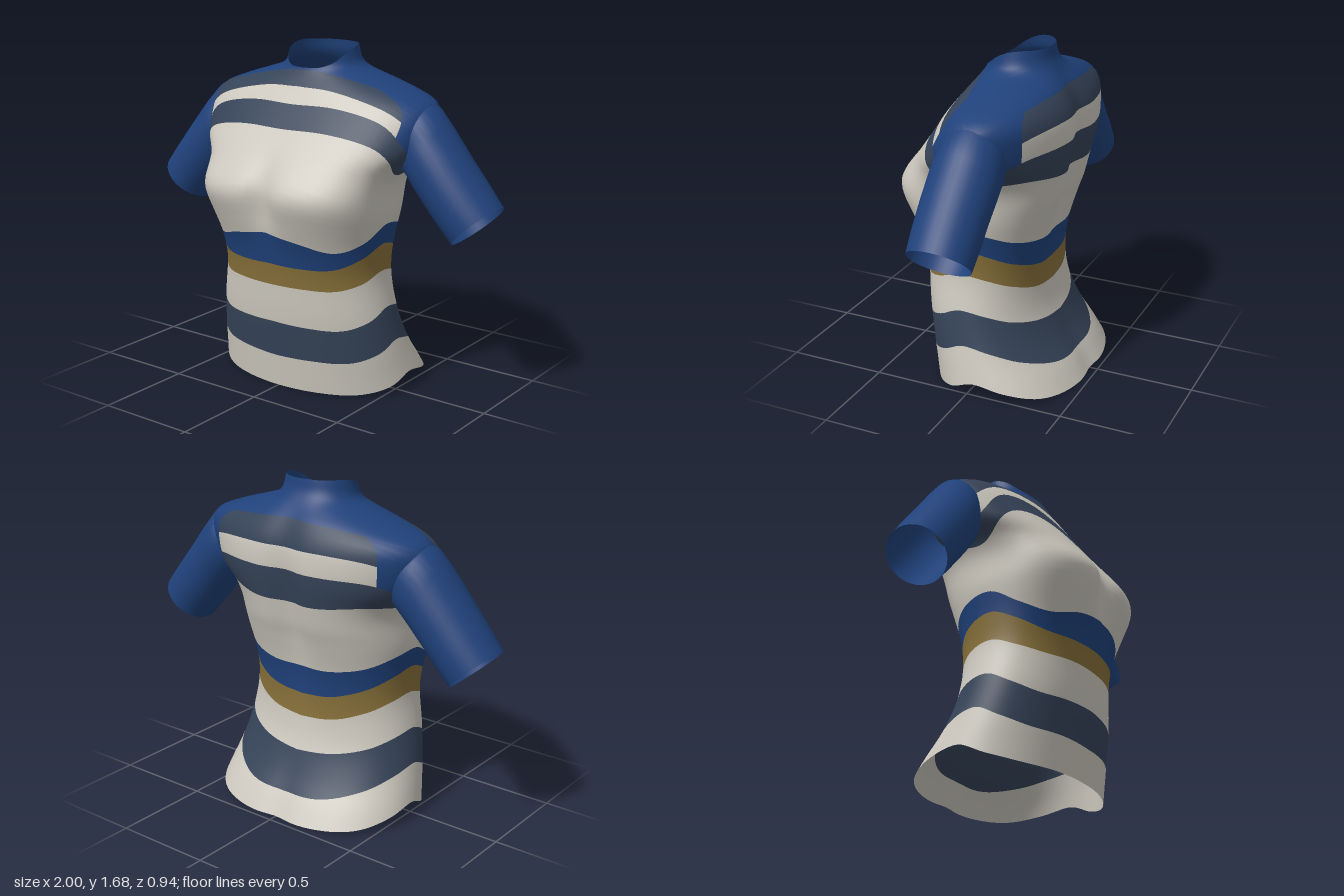
import * as THREE from 'three';

const mat = (name, color) => new THREE.MeshStandardMaterial({ name, color, side: THREE.DoubleSide });

// Smooth interpolation through [key, value] pairs
function curve(keys) {
  const n = keys.length;
  const slope = (i) => {
    const a = keys[Math.max(i - 1, 0)], b = keys[Math.min(i + 1, n - 1)];
    return (b[1] - a[1]) / (b[0] - a[0]);
  };
  return (x) => {
    const t0 = THREE.MathUtils.clamp(x, keys[0][0], keys[n - 1][0]);
    let i = 0;
    while (i < n - 2 && t0 > keys[i + 1][0]) i++;
    const [x0, y0] = keys[i], [x1, y1] = keys[i + 1];
    const h = x1 - x0, t = (t0 - x0) / h, u = 1 - t;
    return y0 * (1 + 2 * t) * u * u + y1 * t * t * (3 - 2 * t)
      + h * (slope(i) * t * u * u - slope(i + 1) * t * t * u);
  };
}

// Closed rings stacked into a smooth open tube
function loft(rows, segs, point) {
  const pos = [], index = [];
  for (let i = 0; i <= rows; i++) {
    for (let j = 0; j < segs; j++) pos.push(...point(i, (j / segs) * Math.PI * 2));
  }
  for (let i = 0; i < rows; i++) {
    for (let j = 0; j < segs; j++) {
      const k = (j + 1) % segs, a = i * segs + j, b = i * segs + k;
      index.push(a, b, a + segs, b, b + segs, a + segs);
    }
  }
  const g = new THREE.BufferGeometry();
  g.setAttribute('position', new THREE.Float32BufferAttribute(pos, 3));
  g.setIndex(index);
  g.computeVertexNormals();
  return g;
}

// Body profiles by height: half width, front depth, back depth, squareness of each half
const width = curve([[0, 0.56], [0.1, 0.54], [0.2, 0.52], [0.4, 0.48], [0.6, 0.443], [0.75, 0.45], [0.9, 0.475],
  [1.05, 0.487], [1.13, 0.525], [1.2, 0.595], [1.3, 0.635], [1.4, 0.64], [1.45, 0.595], [1.5, 0.465],
  [1.54, 0.335], [1.57, 0.24], [1.6, 0.2], [1.68, 0.178]]);
const front = curve([[0, 0.305], [0.2, 0.33], [0.4, 0.355], [0.6, 0.37], [0.75, 0.395], [0.87, 0.435],
  [1, 0.474], [1.07, 0.45], [1.2, 0.345], [1.3, 0.265], [1.4, 0.195], [1.5, 0.13], [1.57, 0.09], [1.68, 0.07]]);
const back = curve([[0, -0.475], [0.1, -0.415], [0.2, -0.345], [0.35, -0.275], [0.5, -0.248], [0.65, -0.253],
  [0.75, -0.27], [0.9, -0.315], [1, -0.35], [1.2, -0.39], [1.3, -0.397], [1.4, -0.385], [1.5, -0.335],
  [1.56, -0.285], [1.62, -0.245], [1.68, -0.23]]);
const squareFront = curve([[0, 2.1], [0.6, 2.2], [0.85, 2.7], [1, 3.1], [1.15, 2.5], [1.35, 2.4], [1.45, 2.2], [1.55, 2]]);
const squareBack = curve([[0, 2.4], [0.3, 2.2], [1, 2.4], [1.35, 2], [1.68, 2]]);
const bell = (v, mid, spread) => Math.exp(-(((v - mid) / spread) ** 2));

function bodyPoint(y, a) {
  const f = front(y), b = back(y), s = Math.sin(a), c = Math.cos(a);
  const n = c > 0 ? squareFront(y) : squareBack(y);
  const r = (Math.abs(s) ** n + Math.abs(c) ** n) ** (-1 / n);
  const x = width(y) * s * r;
  let z = (f + b) / 2 + ((f - b) / 2) * c * r;
  // Cleft of the chest and groove of the spine
  if (c > 0) z -= 0.05 * bell(x, 0, 0.08) * bell(y, 1, 0.15);
  else z += 0.045 * bell(x, 0, 0.09) * bell(y, 1.1, 0.4) + 0.015 * bell(x, 0, 0.08) * bell(y, 0, 0.2);
  return [x, y, z];
}

export function createModel() {
  const cream = mat('cream', 0xccc8be), slate = mat('slate', 0x354358);
  const blue = mat('blue', 0x1f417a), gold = mat('gold', 0x866f39);
  const model = new THREE.Group();
  model.name = 'shirt';

  // Heights of the stripe edges, from centre front round the side to centre back
  const edges = [
    [0.003, 0.005, 0.01, 0.04, 0.09, 0.06, 0.02, 0.005, 0.005],
    [0.17, 0.175, 0.18, 0.22, 0.27, 0.24, 0.18, 0.13, 0.12],
    [0.355, 0.35, 0.35, 0.39, 0.44, 0.42, 0.37, 0.33, 0.31],
    [0.55, 0.55, 0.55, 0.58, 0.62, 0.6, 0.55, 0.5, 0.48],
    [0.66, 0.655, 0.66, 0.71, 0.76, 0.73, 0.67, 0.62, 0.6],
    [0.82, 0.79, 0.75, 0.79, 0.86, 0.84, 0.79, 0.76, 0.75],
    [1.3, 1.3, 1.26, 1.17, 1.1, 1.12, 1.13, 1.11, 1.1],
    [1.41, 1.41, 1.36, 1.24, 1.17, 1.2, 1.26, 1.27, 1.27],
    [1.49, 1.48, 1.42, 1.32, 1.27, 1.3, 1.36, 1.38, 1.38],
    [1.565, 1.56, 1.53, 1.47, 1.42, 1.44, 1.48, 1.5, 1.51],
    [1.575, 1.58, 1.605, 1.645, 1.67, 1.68, 1.68, 1.68, 1.68],
  ].map((row) => curve(row.map((y, i) => [(i * Math.PI) / 8, y])));

  // Each stripe: index into the materials, and rows of faces
  const materials = [cream, slate, gold, blue];
  const stripes = [[0, 5], [1, 5], [0, 5], [2, 4], [3, 4], [0, 14], [1, 4], [0, 4], [1, 5], [3, 14]];
  const rows = [];
  stripes.forEach(([, count], k) => {
    for (let i = 0; i < count; i++) rows.push([k, i / count]);
  });
  rows.push([stripes.length - 1, 1]);

  // Torso with its stripes, yoke and collar
  const segs = 96;
  const body = loft(rows.length - 1, segs, (i, a) => {
    const [k, t] = rows[i];
    const around = a > Math.PI ? Math.PI * 2 - a : a;
    return bodyPoint(THREE.MathUtils.lerp(edges[k](around), edges[k + 1](around), t), a);
  });
  // The two top stripes stop at the sleeve seams, which sit further out on the right front
  const inSleeve = (j) => {
    const deg = ((j + 0.5) / segs) * 360;
    return (deg > 56 && deg < 131) || (deg > 229 && deg < 285);
  };
  for (let i = 0; i < rows.length - 1; i++) {
    const k = rows[i][0];
    for (let j = 0, from = 0; j < segs; j++) {
      const colour = (c) => ((k === 7 || k === 8) && inSleeve(c) ? 3 : stripes[k][0]);
      if (j === segs - 1 || colour(j + 1) !== colour(j)) {
        body.addGroup((i * segs + from) * 6, (j + 1 - from) * 6, colour(j));
        from = j + 1;
      }
    }
  }
  const torso = new THREE.Mesh(body, materials);
  torso.name = 'torso';
  model.add(torso);

  // Sleeve rings: top x, top y, bottom x, bottom y, half depth, centre z
  const rings = [
    [0.5, 1.42, 0.42, 1.19, 0.11, -0.09],
    [0.57, 1.435, 0.47, 1.13, 0.14, -0.088],
    [0.635, 1.428, 0.53, 1.075, 0.162, -0.083],
    [0.71, 1.345, 0.58, 1.02, 0.168, -0.075],
    [0.82, 1.21, 0.65, 0.94, 0.165, -0.07],
    [0.92, 1.09, 0.72, 0.86, 0.162, -0.07],
    [1, 0.99, 0.785, 0.79, 0.155, -0.07],
  ];
  for (const side of [1, -1]) {
    const geo = loft(rings.length - 1, 32, (i, a) => {
      const [tx, ty, bx, by, depth, z] = rings[i], c = Math.cos(a);
      return [side * ((tx + bx) / 2 + ((tx - bx) / 2) * c), (ty + by) / 2 + ((ty - by) / 2) * c,
        z + depth * Math.sin(a) * side];
    });
    const sleeve = new THREE.Mesh(geo, blue);
    sleeve.name = side > 0 ? 'leftSleeve' : 'rightSleeve';
    model.add(sleeve);
  }
  return model;
}
